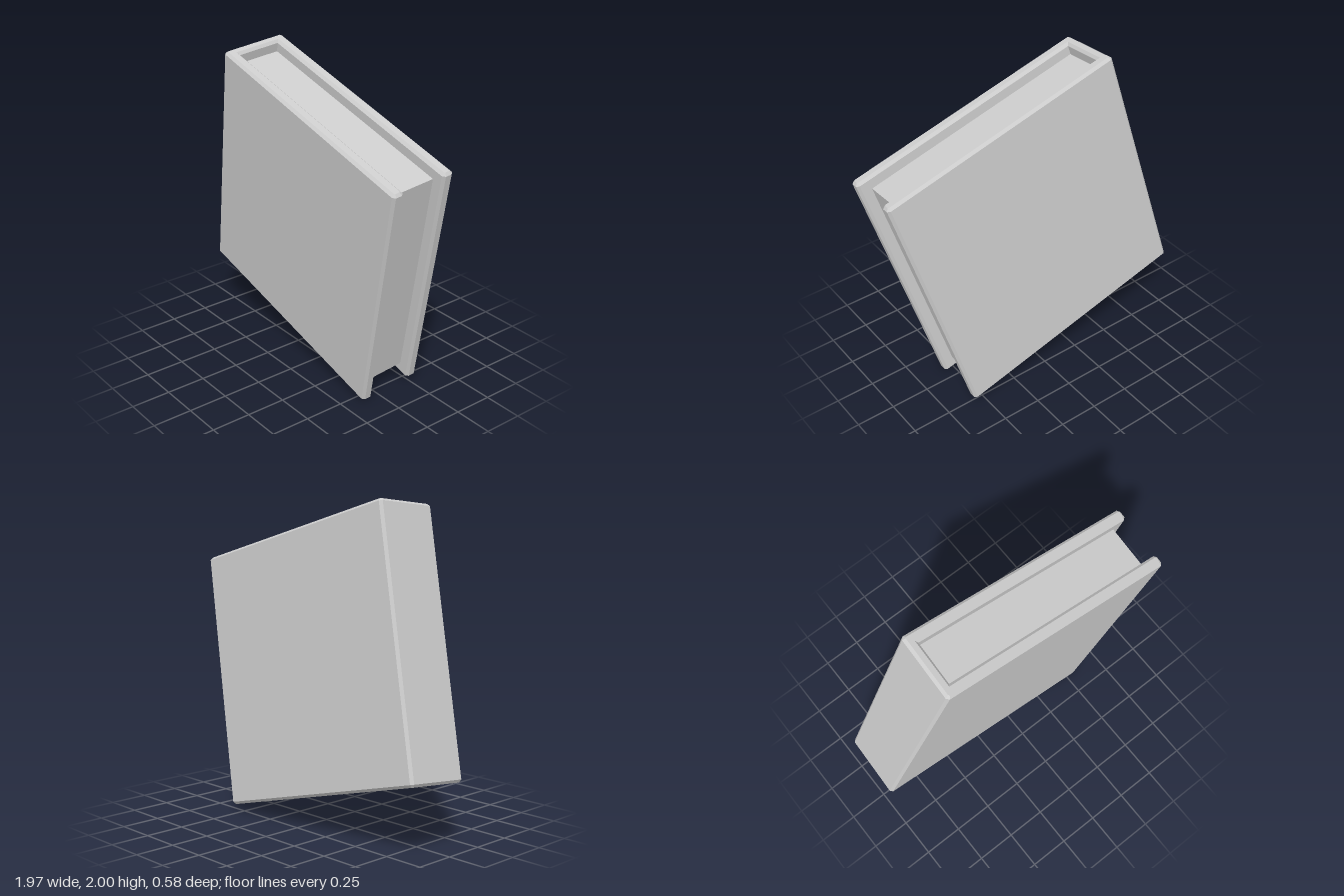
import * as THREE from 'three';

const W = 1.605, H = 1.615, T = 0.42; // spine to fore-edge, height, thickness
const BOARD = 0.073, SPINE = 0.066, INSET = 0.075, C = 0.016; // C is the chamfer

export function createModel() {
  const model = new THREE.Group();
  const book = new THREE.Group();
  book.name = 'book';
  const material = new THREE.MeshStandardMaterial({ color: 0xcccccc, flatShading: true });
  const x = W / 2, z = T / 2, inner = z - BOARD;

  // Cover: U-shaped section with chamfered corners, extruded along the height
  const half = [[-x, z - C], [-x + C, z], [x - C, z], [x, z - C], [x, inner + C], [x - C, inner], [-x + SPINE, inner]];
  const mirrored = half.map(([a, b]) => [a, -b]).reverse();
  const section = new THREE.Shape([...half, ...mirrored].map(([a, b]) => new THREE.Vector2(a, b)));
  const coverGeometry = new THREE.ExtrudeGeometry(section, {
    depth: H - 2 * C, bevelEnabled: true, bevelSegments: 1,
    bevelThickness: C, bevelSize: C, bevelOffset: -C,
  });
  coverGeometry.translate(0, 0, -H / 2 + C).rotateX(-Math.PI / 2);
  const cover = new THREE.Mesh(coverGeometry, material);
  cover.name = 'cover';

  // Page block, set back from the three open edges
  const left = -x + SPINE - 0.004, right = x - INSET;
  const pages = new THREE.Mesh(
    new THREE.BoxGeometry(right - left, H - 2 * INSET, 2 * inner + 0.008), material);
  pages.position.x = (left + right) / 2;
  pages.name = 'pages';

  // Lean of the whole book
  book.add(cover, pages);
  book.rotation.set(THREE.MathUtils.degToRad(6), 0, THREE.MathUtils.degToRad(-15), 'ZYX');
  model.add(book);

  // Stand on the ground, centred
  const box = new THREE.Box3().setFromObject(model, true);
  const centre = box.getCenter(new THREE.Vector3());
  book.position.set(-centre.x, -box.min.y, -centre.z);
  return model;
}
